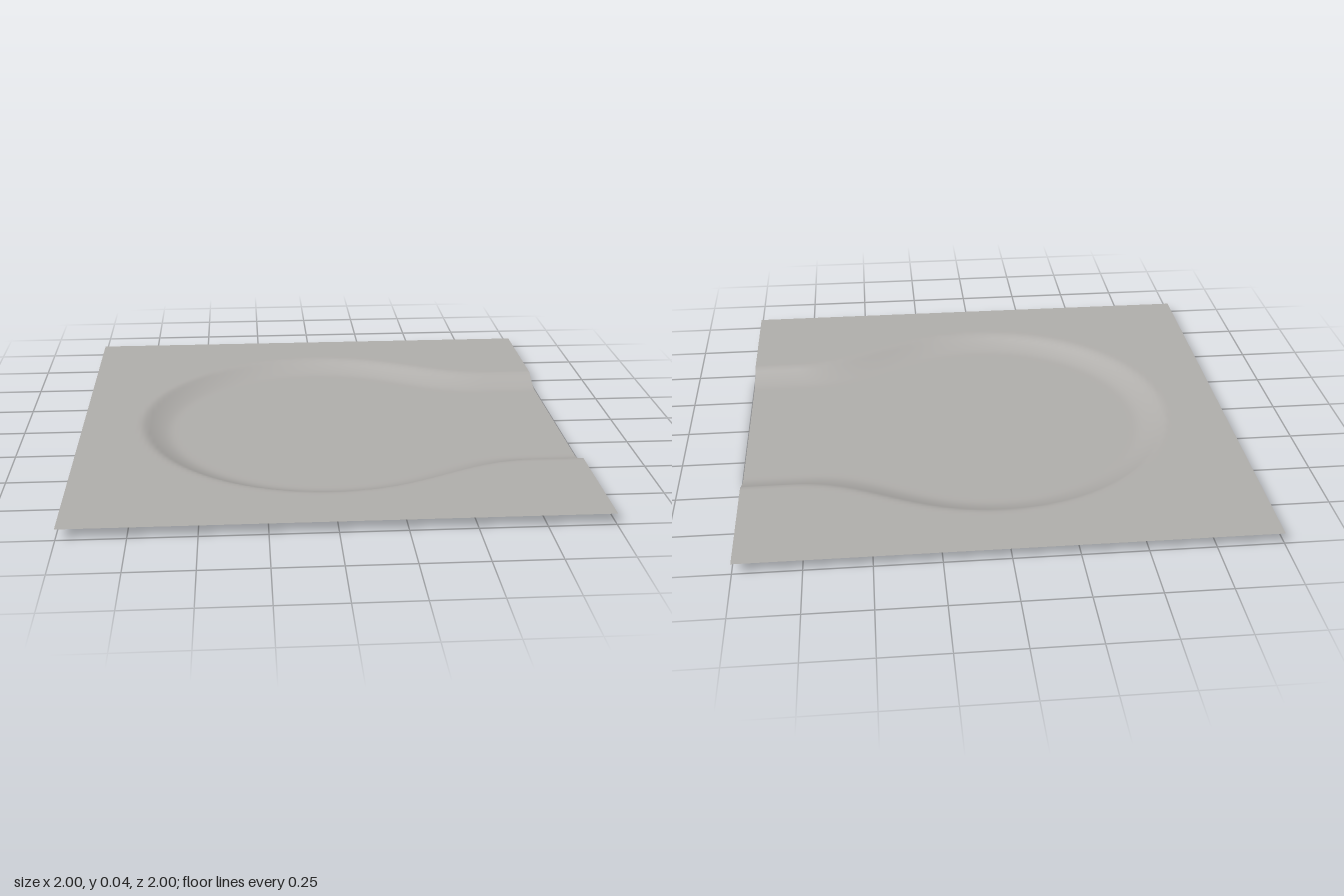
import * as THREE from 'three';

const RIM = 0.043;      // height of the surrounding ground
const BANK = 0.06;      // half width of the sloping bank

// Signed distance inside the shoreline: round basin blended into a channel toward +x
function insideDistance(x, z) {
  const basin = 0.69 - Math.hypot(x, z);
  const channel = Math.min(0.44 - Math.abs(z), x);
  const blend = 0.2;
  const h = Math.max(blend - Math.abs(basin - channel), 0) / blend;
  return Math.max(basin, channel) + h * h * blend / 4;
}

// Bank profile: crisp upper lip, easing out onto the flat floor
function groundHeight(x, z) {
  const t = THREE.MathUtils.clamp((insideDistance(x, z) + BANK) / (2 * BANK), 0, 1);
  return RIM * Math.pow(1 - t, 1.5);
}

export function createModel() {
  const group = new THREE.Group();
  group.name = 'pondTile';

  const stone = new THREE.MeshStandardMaterial({ color: 0xb0aeab, side: THREE.DoubleSide });
  stone.name = 'warm grey';

  // Square ground sheet, sunk where the pond and its outlet lie
  const geometry = new THREE.PlaneGeometry(2, 2, 100, 100).rotateX(-Math.PI / 2);
  const p = geometry.attributes.position;
  for (let i = 0; i < p.count; i++) p.setY(i, groundHeight(p.getX(i), p.getZ(i)));
  geometry.computeVertexNormals();

  const ground = new THREE.Mesh(geometry, stone);
  ground.name = 'groundWithPondBed';
  group.add(ground);
  return group;
}
